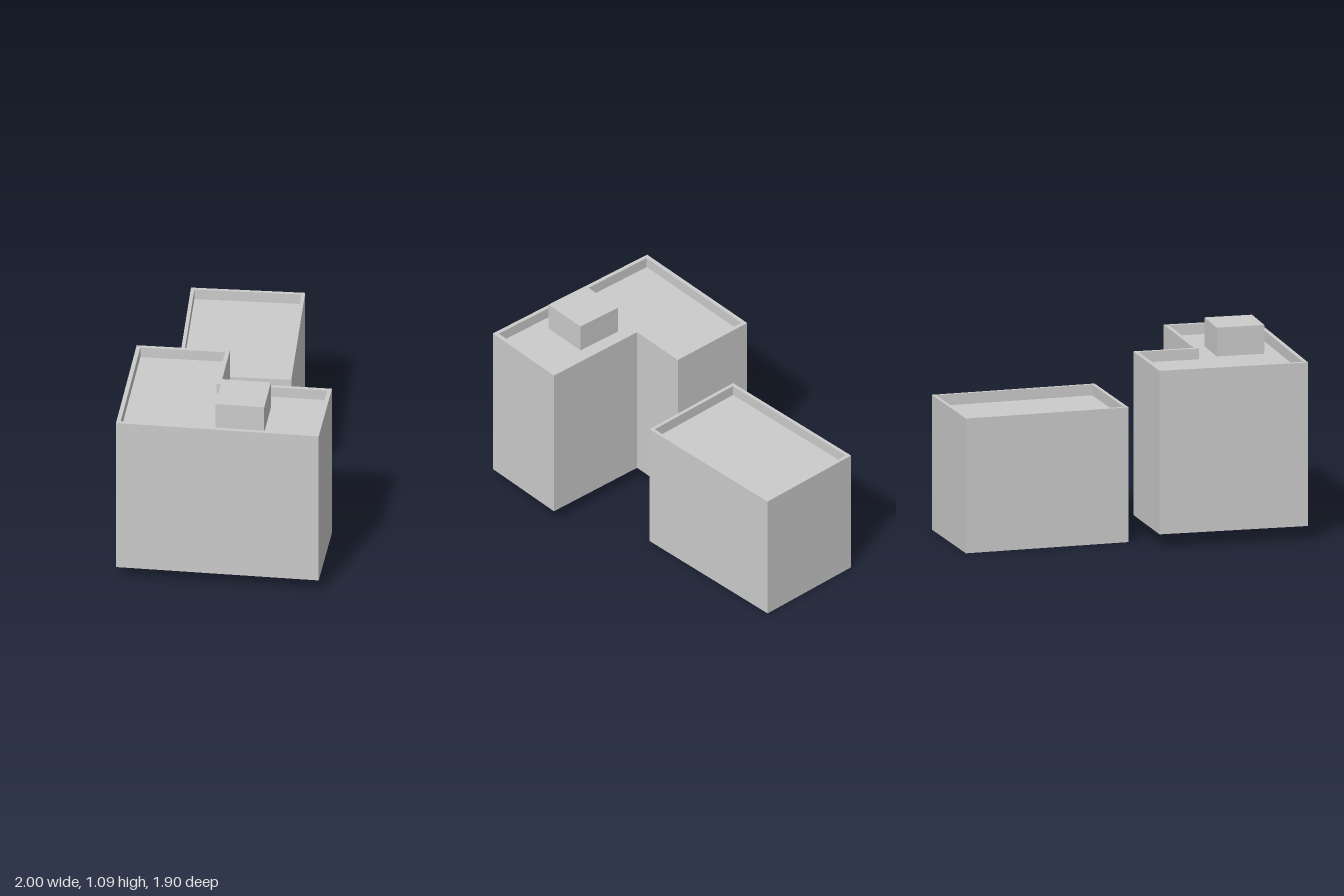
import * as THREE from 'three';

const material = new THREE.MeshStandardMaterial({ color: 0xcccccc, flatShading: true });

// Moves every edge of a counterclockwise outline inward by d, with mitred corners
function inset(outline, d) {
  const n = outline.length;
  const inward = (a, b) => {
    const e = b.clone().sub(a).normalize();
    return new THREE.Vector2(-e.y, e.x);
  };
  return outline.map((p, i) => {
    const n1 = inward(outline[(i + n - 1) % n], p);
    const n2 = inward(p, outline[(i + 1) % n]);
    const k = d / (1 + n1.dot(n2));
    return n1.add(n2).multiplyScalar(k).add(p);
  });
}

// A closed block with a rim around a sunken flat roof; plan is a list of [x, z]
function createBlock(name, plan, bottom, top, rimWidth, rimDepth) {
  const outer = plan.map(([x, z]) => new THREE.Vector2(x, -z));
  if (THREE.ShapeUtils.isClockWise(outer)) outer.reverse();
  const inner = inset(outer, rimWidth);
  const ring = (pts, y) => pts.map((p) => new THREE.Vector3(p.x, y, -p.y));

  // Outer wall, rim top and inner wall follow one another
  const rings = [ring(outer, bottom), ring(outer, top), ring(inner, top), ring(inner, top - rimDepth)];
  const points = [];
  for (let r = 0; r < rings.length - 1; r++) {
    const lo = rings[r], hi = rings[r + 1];
    lo.forEach((a, i) => {
      const j = (i + 1) % lo.length;
      points.push(a, lo[j], hi[j], a, hi[j], hi[i]);
    });
  }

  // Underside and roof
  for (const [a, b, c] of THREE.ShapeUtils.triangulateShape(outer, [])) {
    points.push(rings[0][a], rings[0][c], rings[0][b]);
  }
  for (const [a, b, c] of THREE.ShapeUtils.triangulateShape(inner, [])) {
    points.push(rings[3][a], rings[3][b], rings[3][c]);
  }

  const geometry = new THREE.BufferGeometry().setFromPoints(points);
  geometry.computeVertexNormals();
  const mesh = new THREE.Mesh(geometry, material);
  mesh.name = name;
  return mesh;
}

export function createModel() {
  const group = new THREE.Group();
  group.name = 'buildings';

  // Lower rectangular building at the back
  group.add(createBlock('rearBuilding',
    [[-0.58, -0.95], [0.11, -0.33], [-0.31, 0.13], [-1, -0.49]],
    0, 0.75, 0.02, 0.06));

  // Taller L-shaped building, set on slightly higher ground
  group.add(createBlock('cornerBuilding',
    [[-0.02, -0.01], [0.22, 0.23], [0.64, 0.205 - 0.41], [1, 0.16], [0.22, 0.95], [-0.37, 0.36]],
    0.08, 0.99, 0.023, 0.06));

  // Plant room on the tall roof
  const plantRoom = new THREE.Mesh(new THREE.BoxGeometry(0.267, 0.16, 0.267), material);
  plantRoom.name = 'roofPlantRoom';
  plantRoom.position.set(0.52, 1.01, 0.31);
  plantRoom.rotation.y = Math.PI / 4;
  group.add(plantRoom);

  return group;
}
